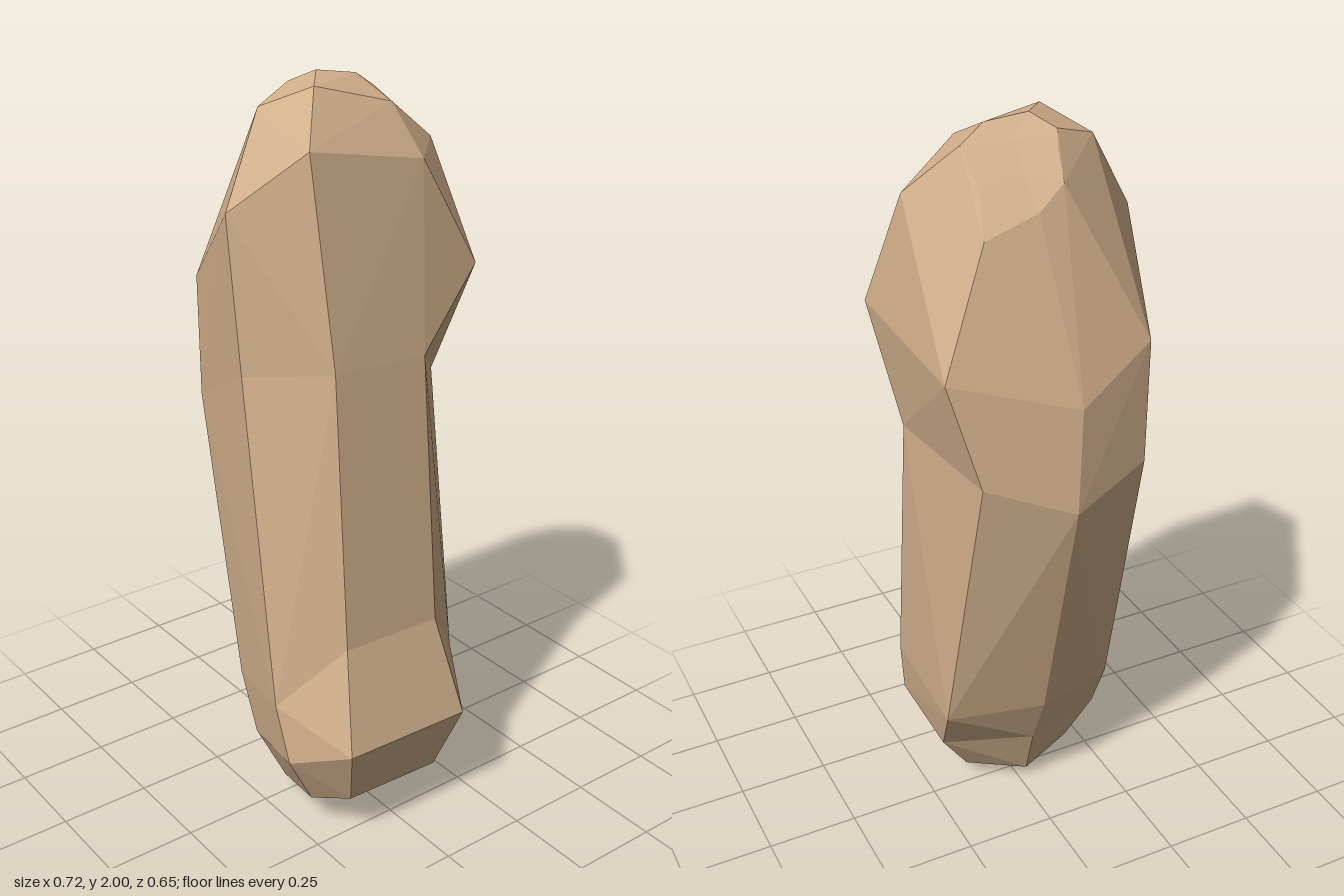
import * as THREE from 'three';

// Seven-sided cross-sections from bottom to top, each [x, y, z] running
// front, front +x, back +x, back, back -x, side -x, front -x.
const rings = [
  [[.18, .10, .22], [.29, .14, .17], [.29, .13, -.12], [.20, .06, -.15], [.01, .06, -.14], [-.06, .035, .02], [0, .055, .18]],
  [[.20, .26, .305], [.36, .33, .22], [.36, .32, -.16], [.21, .24, -.245], [-.03, .20, -.23], [-.12, .20, .01], [-.05, .20, .24]],
  [[.155, .42, .315], [.28, .60, .175], [.28, .59, -.12], [.18, .41, -.265], [-.135, .37, -.26], [-.185, .36, .01], [-.12, .36, .24]],
  [[.02, 1.30, .305], [.21, 1.33, .16], [.21, 1.32, -.12], [.05, 1.20, -.28], [-.29, 1.17, -.22], [-.36, 1.08, .005], [-.29, 1.14, .23]],
  [[0, 1.71, .325], [.135, 1.86, .178], [.147, 1.80, -.155], [.16, 1.51, -.325], [-.25, 1.45, -.295], [-.345, 1.36, .02], [-.285, 1.47, .235]],
  [[-.07, 1.93, .18], [.04, 1.985, .095], [.07, 1.93, -.115], [.035, 1.82, -.27], [-.205, 1.765, -.17], [-.215, 1.815, -.035], [-.20, 1.87, .035]],
  [[-.115, 1.97, .06], [-.06, 2, .015], [-.04, 1.985, -.09], [-.06, 1.945, -.16], [-.14, 1.865, -.15], [-.15, 1.89, -.04], [-.15, 1.93, .045]],
].map((ring) => ring.map((p) => new THREE.Vector3(...p)));

function buildStone() {
  const positions = [];
  const tri = (...pts) => pts.forEach((p) => positions.push(p.x, p.y, p.z));
  const mid = (p, q) => p.clone().add(q);

  // Split each quad along its outer diagonal so the facets bulge outward
  const quad = (a, b, c, d) => {
    const n = c.clone().sub(a).cross(d.clone().sub(b));
    if (mid(a, c).dot(n) >= mid(b, d).dot(n)) {
      tri(a, b, c);
      tri(a, c, d);
    } else {
      tri(a, b, d);
      tri(b, c, d);
    }
  };

  const sides = rings[0].length;
  const top = rings[rings.length - 1];
  const bottomTip = new THREE.Vector3(.08, 0, .02);
  const topTip = new THREE.Vector3(-.095, 1.95, -.04);
  for (let j = 0; j < sides; j++) {
    const k = (j + 1) % sides;
    // Side facets
    for (let i = 0; i < rings.length - 1; i++) {
      quad(rings[i][j], rings[i][k], rings[i + 1][k], rings[i + 1][j]);
    }
    // Bottom and top caps
    tri(bottomTip, rings[0][k], rings[0][j]);
    tri(topTip, top[j], top[k]);
  }

  const geometry = new THREE.BufferGeometry();
  geometry.setAttribute('position', new THREE.Float32BufferAttribute(positions, 3));
  geometry.computeVertexNormals();
  return geometry;
}

export function createModel() {
  const group = new THREE.Group();
  group.name = 'standingStone';
  const material = new THREE.MeshStandardMaterial({ color: 0xd2b08c, flatShading: true });
  const stone = new THREE.Mesh(buildStone(), material);
  stone.name = 'stone';
  group.add(stone);
  return group;
}
